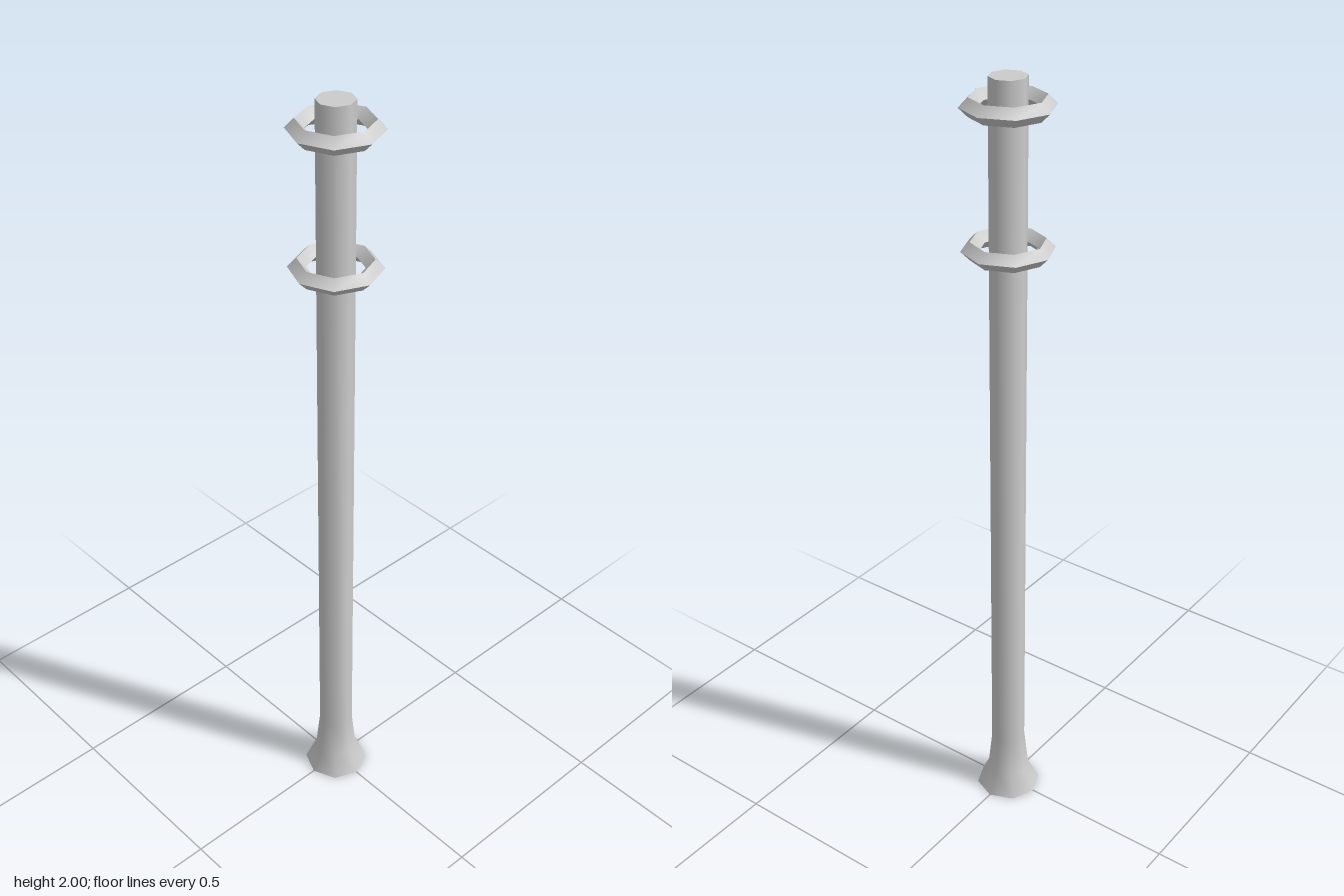
import * as THREE from 'three';
import { toCreasedNormals } from 'three/addons/utils/BufferGeometryUtils.js';

const SIDES = 8;

export function createModel() {
  const model = new THREE.Group();
  model.name = 'ringedPole';
  const material = new THREE.MeshStandardMaterial({ color: 0xcccccc });

  // soft facets around the axis, sharp rims
  const addPart = (name, geometry) => {
    const mesh = new THREE.Mesh(toCreasedNormals(geometry, 0.9), material);
    mesh.name = name;
    model.add(mesh);
    return mesh;
  };

  // closed octagonal pole with a flared foot
  const profile = [
    [0, 0], [0.086, 0], [0.056, 0.06], [0.045, 0.165], [0.045, 2], [0, 2],
  ].map(([r, y]) => new THREE.Vector2(r, y));
  addPart('pole', new THREE.LatheGeometry(profile, SIDES));

  // two loose rings with a diamond cross-section
  [['lowerRing', 1.6], ['upperRing', 1.934]].forEach(([name, y]) => {
    const ring = new THREE.TorusGeometry(0.089, 0.022, 4, SIDES).rotateX(-Math.PI / 2);
    addPart(name, ring).position.y = y;
  });

  return model;
}
